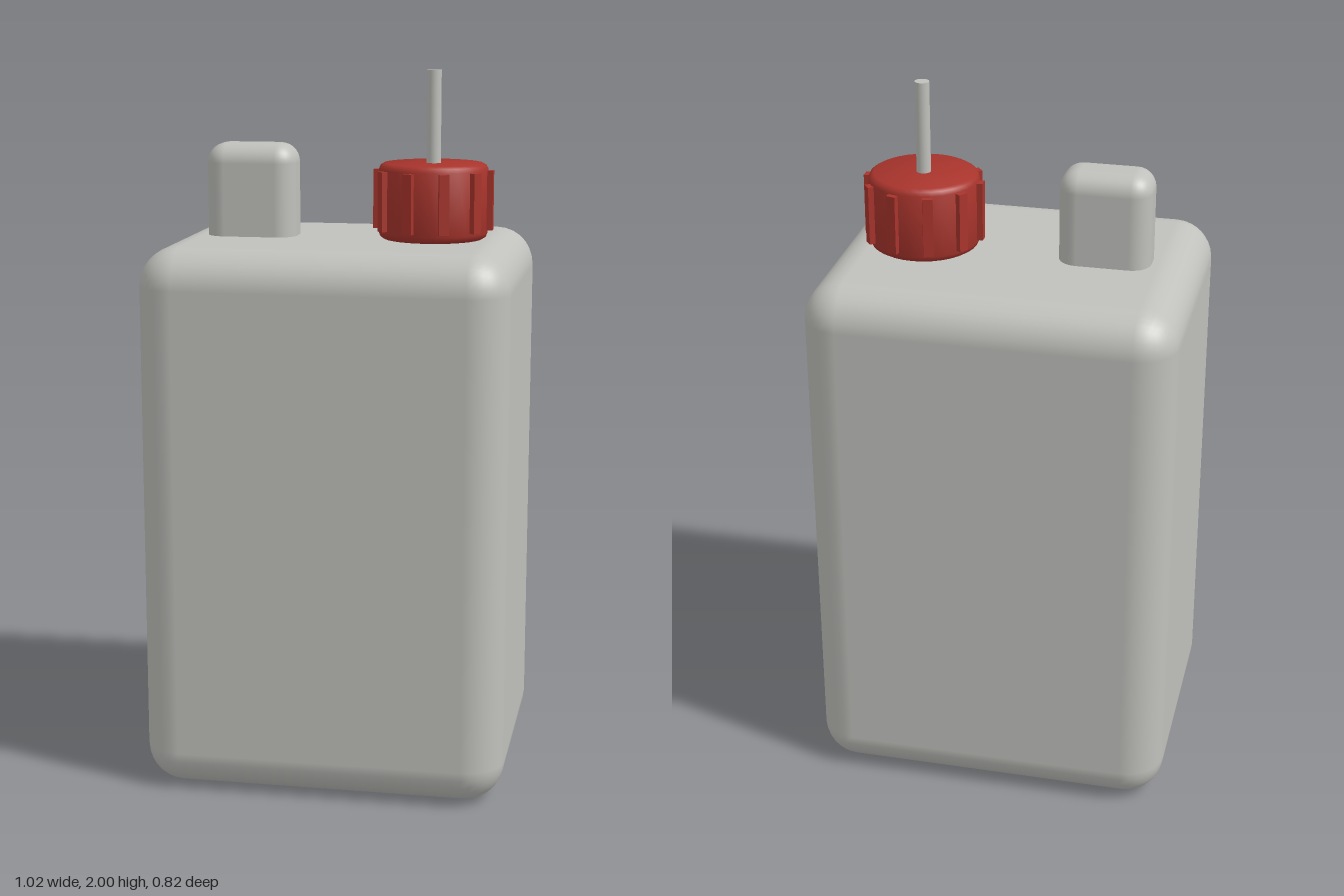
import * as THREE from 'three';
import { RoundedBoxGeometry } from 'three/addons/geometries/RoundedBoxGeometry.js';
import { toCreasedNormals } from 'three/addons/utils/BufferGeometryUtils.js';

export function createModel() {
  const group = new THREE.Group();
  const plastic = new THREE.MeshStandardMaterial({ color: 0xc0c0bc });
  plastic.name = 'greyPlastic';
  const red = new THREE.MeshStandardMaterial({ color: 0xa8342c });
  red.name = 'redPlastic';

  const add = (name, geometry, material, x, y, z = 0, parent = group) => {
    const mesh = new THREE.Mesh(geometry, material);
    mesh.name = name;
    mesh.position.set(x, y, z);
    parent.add(mesh);
    return mesh;
  };

  // Bottle body and the grip on its top, sunk slightly into the body
  add('body', new RoundedBoxGeometry(1.02, 1.535, 0.82, 4, 0.11), plastic, 0, 0.7675);
  add('grip', new RoundedBoxGeometry(0.255, 0.32, 0.15, 4, 0.055), plastic, -0.2575, 1.635);

  // Screw cap with bevelled rims
  const cap = new THREE.Group();
  cap.name = 'cap';
  cap.position.set(0.255, 1.535, 0);
  group.add(cap);
  const profile = [
    [0, 0], [0.138, 0], [0.148, 0.006], [0.153, 0.018],
    [0.153, 0.193], [0.148, 0.204], [0.138, 0.21], [0, 0.21],
  ].map(([r, y]) => new THREE.Vector2(r, y));
  add('capBody', toCreasedNormals(new THREE.LatheGeometry(profile, 32), 0.7), red, 0, 0, 0, cap);

  // Grip ribs around the cap
  const rib = new THREE.BoxGeometry(0.03, 0.165, 0.028);
  for (let i = 0; i < 10; i++) {
    const a = (i / 10) * Math.PI * 2;
    const mesh = add('capRib', rib, red, Math.cos(a) * 0.153, 0.108, Math.sin(a) * 0.153, cap);
    mesh.rotation.y = -a;
  }

  // Thin spout through the cap
  add('spout', new THREE.CylinderGeometry(0.02, 0.02, 0.3, 16), plastic, 0.255, 1.85);

  return group;
}
